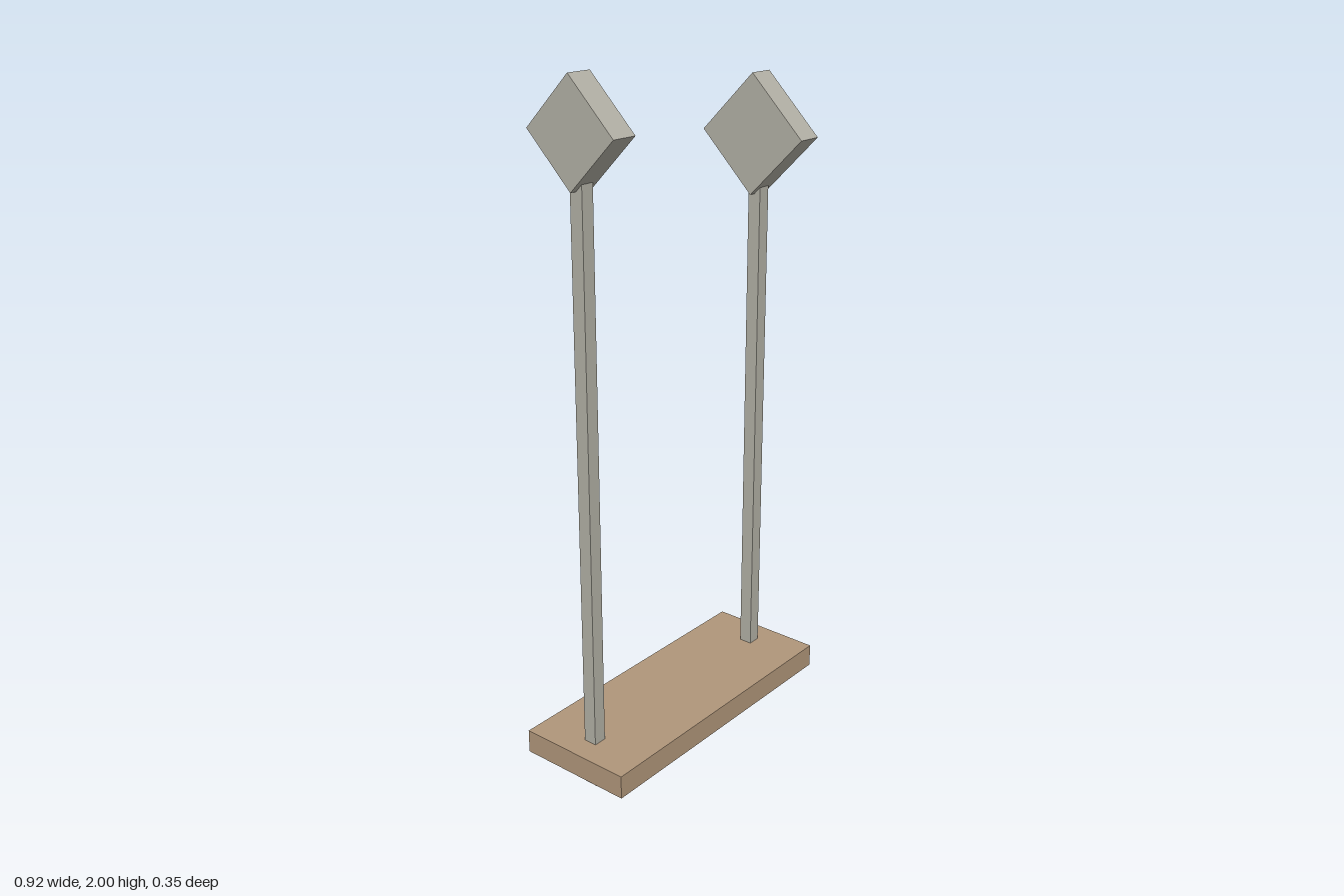
import * as THREE from 'three';

export function createModel() {
  const model = new THREE.Group();
  const wood = new THREE.MeshStandardMaterial({ name: 'wood', color: 0xb0967a });
  const metal = new THREE.MeshStandardMaterial({ name: 'palegreymetal', color: 0xb2b0a5 });

  const box = (parent, name, material, [w, h, d], [x, y, z]) => {
    const mesh = new THREE.Mesh(new THREE.BoxGeometry(w, h, d), material);
    mesh.name = name;
    mesh.position.set(x, y, z);
    parent.add(mesh);
    return mesh;
  };

  // Wooden plank joining the two posts
  box(model, 'plank', wood, [0.915, 0.07, 0.355], [0, 0.103, 0]);

  // Each post: square rod through the plank, nut below, diamond block on top
  const addPost = (name, x, headY, halfDiagonal) => {
    const post = new THREE.Group();
    post.name = name;
    post.position.x = x;
    model.add(post);
    box(post, 'rod', metal, [0.04, headY, 0.04], [0, headY / 2, 0]);
    box(post, 'nut', metal, [0.08, 0.042, 0.08], [0, 0.047, 0]);
    const side = halfDiagonal * Math.SQRT2;
    const head = box(post, 'diamondHead', metal, [0.079, side, side], [0, headY, 0]);
    head.rotation.x = Math.PI / 4;
  };
  addPost('rightPost', -0.369, 1.857, 0.143);
  addPost('leftPost', 0.368, 1.762, 0.17);

  return model;
}
